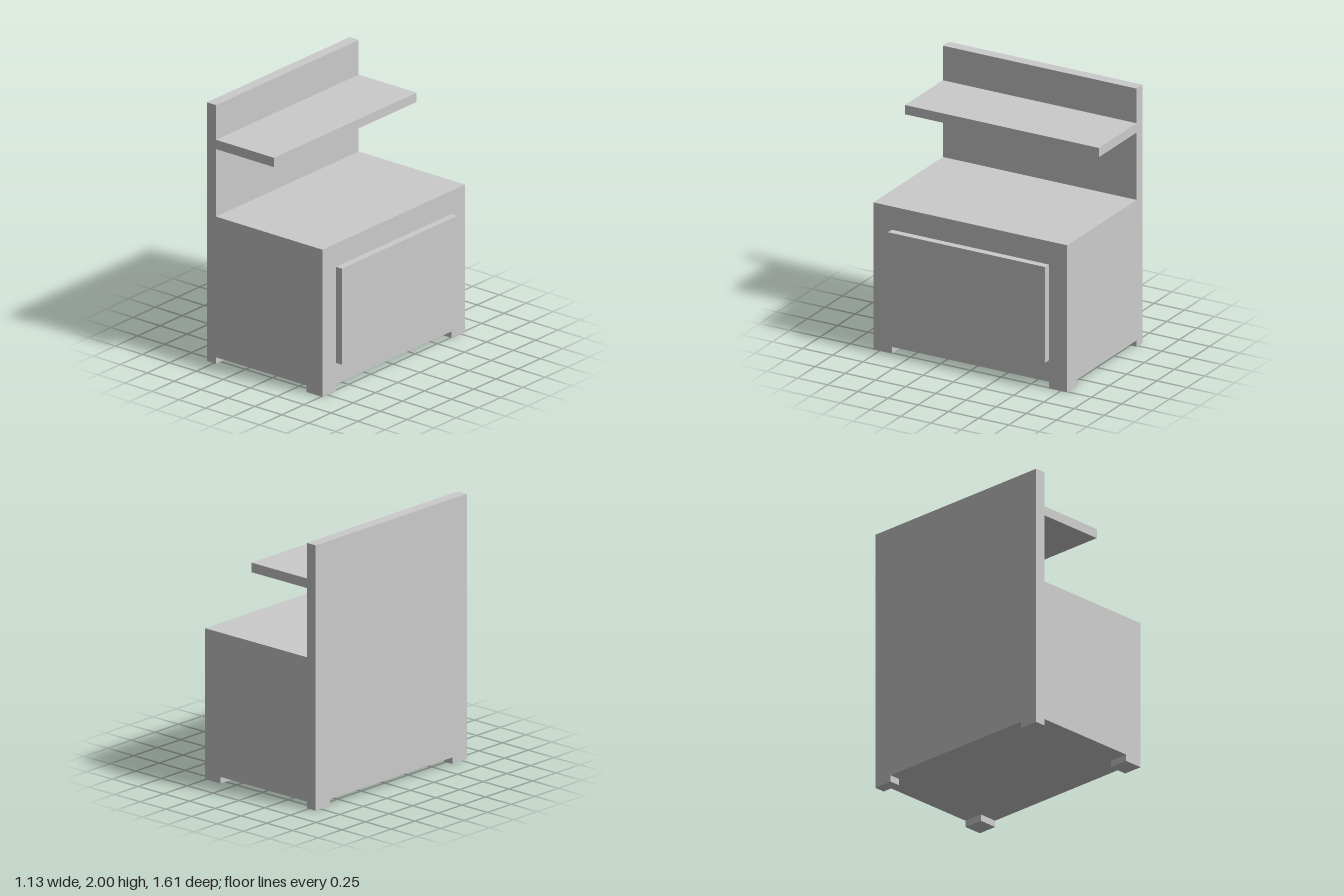
import * as THREE from 'three';

const material = new THREE.MeshStandardMaterial({ color: 0xcccccc, flatShading: true });

// Box given by its min and max corners
function box(name, [x0, y0, z0], [x1, y1, z1]) {
  const mesh = new THREE.Mesh(new THREE.BoxGeometry(x1 - x0, y1 - y0, z1 - z0), material);
  mesh.position.set((x0 + x1) / 2, (y0 + y1) / 2, (z0 + z1) / 2);
  mesh.name = name;
  return mesh;
}

export function createModel() {
  const group = new THREE.Group();
  group.name = 'stove';

  const halfDepth = 0.803;
  const back = -0.565, panel = -0.48, front = 0.508;
  const base = 0.05, top = 1.138;

  // Cabinet, upright back panel and shelf share one side outline
  const outline = new THREE.Shape([
    [back, base], [front, base], [front, top], [panel, top],
    [panel, 1.66], [0.058, 1.66], [0.058, 1.732], [panel, 1.732],
    [panel, 2], [back, 2],
  ].map(([x, y]) => new THREE.Vector2(x, y)));
  const bodyGeometry = new THREE.ExtrudeGeometry(outline, { depth: 2 * halfDepth, bevelEnabled: false });
  bodyGeometry.translate(0, 0, -halfDepth);
  const body = new THREE.Mesh(bodyGeometry, material);
  body.name = 'cabinetWithBackPanelAndShelf';
  group.add(body);

  // Raised oven door
  group.add(box('ovenDoor', [front, 0.215, -0.65], [0.563, 0.958, 0.65]));

  // Four corner feet, the front pair longer
  for (const side of [-1, 1]) {
    const z0 = side > 0 ? 0.65 : -halfDepth;
    const z1 = side > 0 ? halfDepth : -0.65;
    const label = side > 0 ? 'Left' : 'Right';
    group.add(box('backFoot' + label, [back, 0, z0], [panel, base, z1]));
    group.add(box('frontFoot' + label, [0.36, 0, z0], [front, base, z1]));
  }
  return group;
}
